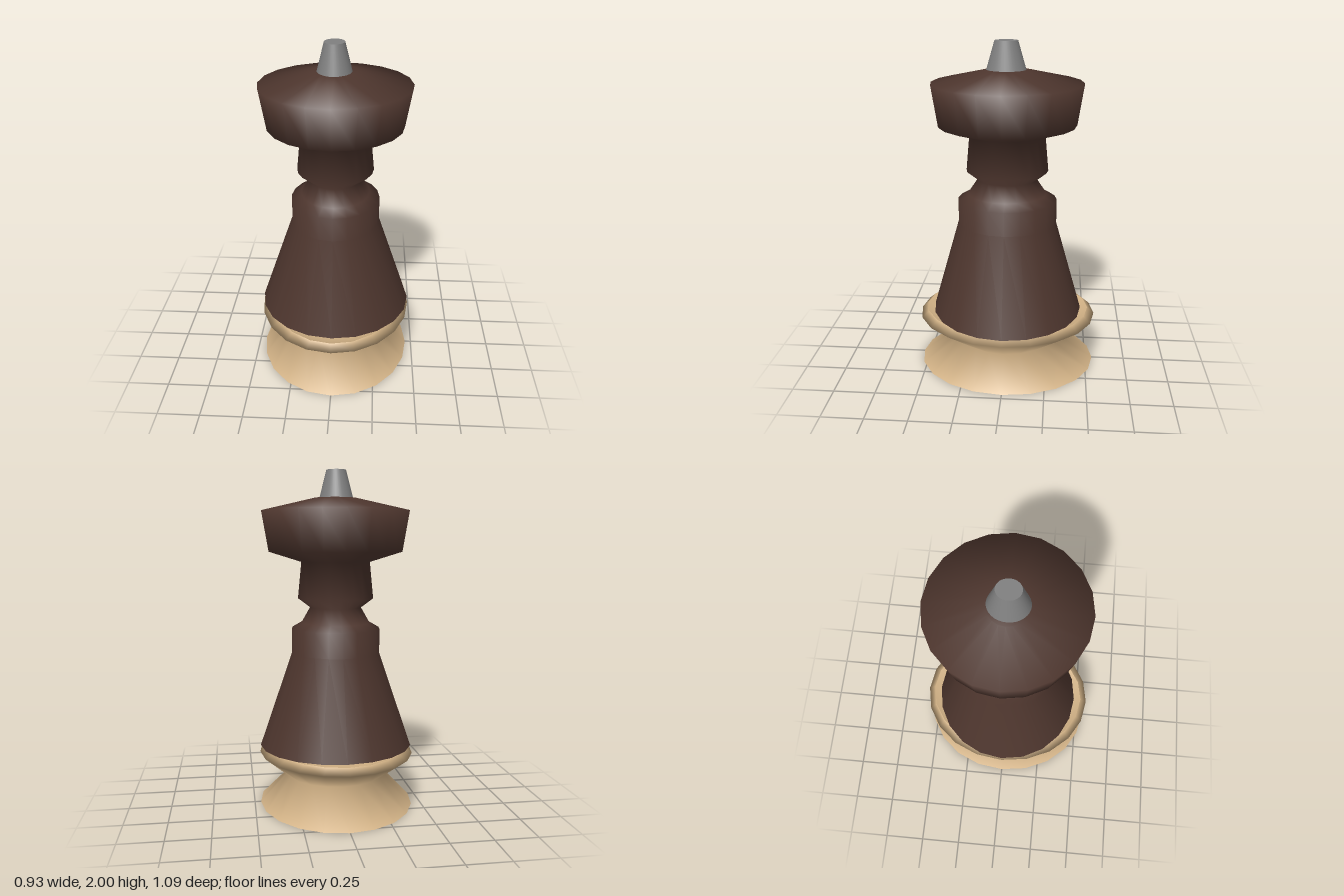
import * as THREE from 'three';
import { mergeVertices } from 'three/addons/utils/BufferGeometryUtils.js';

const darkWood = new THREE.MeshStandardMaterial({ color: 0x4e362e });
const paleWood = new THREE.MeshStandardMaterial({ color: 0xd2b286 });
const greyMetal = new THREE.MeshStandardMaterial({ color: 0x808080 });

// Turned shape with oval rings; each ring is [half width x, half depth z, y]
function turned(rings, sides) {
  let geo = new THREE.LatheGeometry(rings.map(([rx, , y]) => new THREE.Vector2(rx, y)), sides);
  const pos = geo.attributes.position;
  for (let i = 0; i < pos.count; i++) {
    const [rx, rz] = rings[i % rings.length];
    const angle = (Math.floor(i / rings.length) / sides) * Math.PI * 2;
    pos.setXYZ(i, Math.sin(angle) * rx, pos.getY(i), Math.cos(angle) * rz);
  }
  geo.deleteAttribute('normal');
  geo.deleteAttribute('uv');
  geo = mergeVertices(geo, 1e-5);
  geo.computeVertexNormals();
  return geo;
}

export function createModel() {
  const model = new THREE.Group();
  model.name = 'chessPiece';

  const add = (name, material, rings, sides = 20) => {
    const mesh = new THREE.Mesh(turned(rings, sides), material);
    mesh.name = name;
    model.add(mesh);
    return mesh;
  };

  // Base: waisted oval foot with a shallow dish under the body
  add('baseUnderside', paleWood, [[0, 0, 0], [0.463, 0.546, 0]]);
  add('base', paleWood, [
    [0.463, 0.546, 0], [0.298, 0.298, 0.175], [0.463, 0.546, 0.32], [0.4, 0.505, 0.358],
  ]);
  add('baseDish', paleWood, [[0.4, 0.505, 0.358], [0.33, 0.41, 0.325], [0, 0, 0.325]]);

  // Body: skirt, shoulder, collar and flared head in one turning
  add('bodyUnderside', darkWood, [[0, 0, 0.36], [0.459, 0.459, 0.36]]);
  add('body', darkWood, [
    [0.459, 0.459, 0.36],
    [0.264, 0.297, 0.925],
    [0.264, 0.297, 1.07],
    [0.204, 0.235, 1.105],
    [0.153, 0.175, 1.195],
    [0.226, 0.243, 1.25],
    [0.205, 0.223, 1.465],
    [0.397, 0.405, 1.525],
    [0.438, 0.441, 1.765],
    [0.127, 0.115, 1.838],
    [0, 0, 1.838],
  ]);

  // Finial: tapered metal peg
  const finial = add('finial', greyMetal, [[0.1, 0.115, 1.835], [0.058, 0.067, 2]], 32);
  const finialTop = add('finialTop', greyMetal, [[0.058, 0.067, 2], [0, 0, 2]], 32);
  for (const part of [finial, finialTop]) part.position.set(-0.005, 0, 0.006);

  return model;
}
